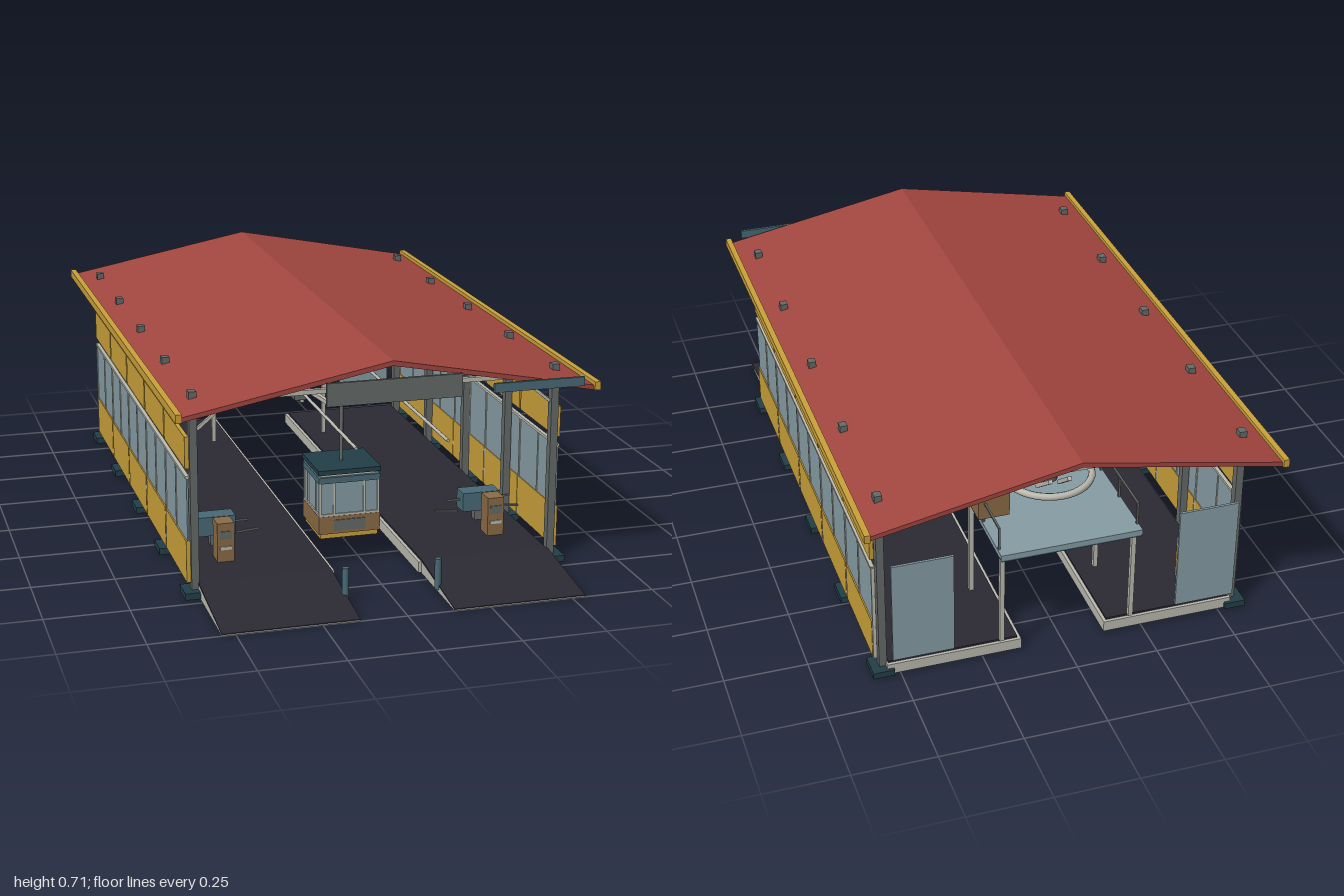
import * as THREE from 'three';

const mat = (name, color, double) => {
  const m = new THREE.MeshStandardMaterial({ color });
  m.name = name;
  if (double) m.side = THREE.DoubleSide;
  return m;
};

export function createModel() {
  const root = new THREE.Group();
  root.name = 'cableCarStation';
  const red = mat('roofRed', 0xa34640), yellow = mat('panelYellow', 0xcba23a);
  const dark = mat('deckDark', 0x2b2a33), pale = mat('paleMetal', 0xbcbbb0);
  const steel = mat('steelGrey', 0x656b69), glass = mat('glassBlue', 0x879da6);
  const teal = mat('teal', 0x486a76), deep = mat('deepTeal', 0x233f48);
  const brown = mat('brown', 0x8c6c47);

  const add = (name, geo, m, parent = root) => {
    const mesh = new THREE.Mesh(geo, m);
    mesh.name = name;
    parent.add(mesh);
    return mesh;
  };
  // Box given by its limits on each axis
  const box = (name, m, x0, x1, y0, y1, z0, z1, parent) => {
    const b = add(name, new THREE.BoxGeometry(Math.abs(x1 - x0), y1 - y0, z1 - z0), m, parent);
    b.position.set((x0 + x1) / 2, (y0 + y1) / 2, (z0 + z1) / 2);
    return b;
  };
  const cyl = (name, m, r, y0, y1, x, z, sides = 20, parent) => {
    const c = add(name, new THREE.CylinderGeometry(r, r, y1 - y0, sides), m, parent);
    c.position.set(x, (y0 + y1) / 2, z);
    return c;
  };
  // Square bar between two points
  const bar = (name, m, a, b, t, parent) => {
    const p = new THREE.Vector3(...a), q = new THREE.Vector3(...b);
    const s = add(name, new THREE.BoxGeometry(t, t, p.distanceTo(q)), m, parent);
    s.position.copy(p).add(q).multiplyScalar(0.5);
    s.lookAt(q);
    return s;
  };
  // Profile in (z, y), extruded from x0 to x1
  const sideProfile = (name, m, pts, x0, x1) => {
    const shape = new THREE.Shape(pts.map(p => new THREE.Vector2(...p)));
    const g = new THREE.ExtrudeGeometry(shape, { depth: x1 - x0, bevelEnabled: false });
    g.rotateY(-Math.PI / 2).translate(x1, 0, 0);
    return add(name, g, m);
  };

  // Gabled roof with edge gutters
  const gable = [[-0.615, 0.588], [-0.615, 0.574], [0, 0.692], [0.615, 0.574], [0.615, 0.588], [0, 0.707]];
  const roofGeo = new THREE.ExtrudeGeometry(new THREE.Shape(gable.map(p => new THREE.Vector2(...p))),
    { depth: 1.83, bevelEnabled: false });
  roofGeo.translate(0, 0, -0.99);
  add('roof', roofGeo, red);
  const roofUnder = x => 0.692 - Math.abs(x) * 0.192;

  const frames = [0.69, 0.31, -0.075, -0.46, -0.84];
  for (const s of [-1, 1]) {
    box('gutter', yellow, s * 0.61, s * 0.628, 0.576, 0.601, -1, 0.85);
    for (const x of [0.23, 0.46])
      box('purlin', steel, s * (x - 0.005), s * (x + 0.005), roofUnder(x) - 0.014, roofUnder(x), -0.95, 0.8);
    box('eaveBeam', pale, s * 0.542, s * 0.558, 0.549, 0.561, -0.84, 0.69);

    // Columns, footings and knee braces
    for (const z of frames) {
      box('column', steel, s * 0.537, s * 0.56, 0.02, 0.62, z - 0.013, z + 0.013);
      box('footing', deep, s * 0.52, s * 0.585, 0.004, 0.024, z - 0.04, z + 0.04);
      bar('kneeBrace', pale, [s * 0.535, 0.505, z], [s * 0.44, 0.585, z], 0.009);
      bar('rafter', steel, [0, 0.684, z], [s * 0.56, 0.577, z], 0.012);
    }

    // Side wall bays: low panel, glazing, upper panel
    for (let i = 0; i < 5; i++) {
      const z1 = 0.692 - i * 0.3055, z0 = z1 - 0.295, zm = (z0 + z1) / 2;
      box('lowerPanel', yellow, s * 0.56, s * 0.572, 0.043, 0.17, z0, z1);
      box('wallGlass', glass, s * 0.563, s * 0.568, 0.17, 0.36, z0, z1);
      box('upperPanel', yellow, s * 0.56, s * 0.572, 0.39, 0.485, z0, z1);
      box('mullion', pale, s * 0.561, s * 0.571, 0.17, 0.36, zm - 0.003, zm + 0.003);
      box('wallPost', pale, s * 0.561, s * 0.571, 0.043, 0.365, z0 - 0.009, z0 - 0.001);
    }
    box('glassRail', pale, s * 0.56, s * 0.572, 0.36, 0.368, -0.83, 0.692);

    // Platform, entrance ramp and dark walking surface
    const a = s > 0 ? 0.13 : -0.54, b = s > 0 ? 0.54 : -0.13;
    const c = s > 0 ? 0.14 : -0.54, d = s > 0 ? 0.54 : -0.14;
    box('platformSlab', pale, a, b, 0.004, 0.038, -0.87, 0.7);
    box('platformDeck', dark, s * 0.14, s * 0.535, 0.038, 0.044, -0.86, 0.7);
    sideProfile('ramp', pale, [[0.7, 0.002], [1, 0], [1, 0.003], [0.7, 0.037]], c, d);
    sideProfile('rampDeck', dark, [[0.7, 0.037], [1, 0.003], [1, 0.006], [0.7, 0.044]], c, d);
    cyl('bollard', teal, 0.01, 0.01, 0.105, s * 0.14, 0.85);

    // Rear wind screens
    box('rearScreen', glass, s * 0.345, s * 0.53, 0.075, 0.405, -0.899, -0.891);

    // Ticket gates
    const gate = new THREE.Group();
    gate.name = 'ticketGate';
    gate.position.x = s * 0.425;
    root.add(gate);
    box('gateBody', brown, -0.026, 0.026, 0.04, 0.165, 0.5, 0.56, gate);
    box('gateScreen', steel, -0.018, 0.018, 0.115, 0.14, 0.56, 0.563, gate);
    box('gateSlot', pale, -0.018, 0.018, 0.082, 0.092, 0.56, 0.563, gate);
    box('gateDrum', teal, -0.06, 0.06, 0.08, 0.14, 0.37, 0.43, gate);
    box('gateStand', steel, -0.015, 0.015, 0.04, 0.08, 0.385, 0.415, gate);
    bar('gateRail', steel, [-0.105, 0.112, 0.4], [0.105, 0.112, 0.4], 0.006, gate);
    for (const x of [-0.105, 0.105]) bar('gateRailPost', steel, [x, 0.04, 0.4], [x, 0.115, 0.4], 0.006, gate);

    // Machine platform supports and handrails
    for (const z of [-0.895, -0.6])
      box('machinePost', pale, s * 0.194, s * 0.208, z < -0.8 ? 0.07 : 0.04, 0.375, z - 0.007, z + 0.007);
    for (const z of [-0.895, -0.75, -0.6])
      bar('handrailPost', steel, [s * 0.21, 0.39, z], [s * 0.21, 0.47, z], 0.006);
    bar('handrail', steel, [s * 0.21, 0.468, -0.898], [s * 0.21, 0.468, -0.6], 0.006);

    // Haul cable strand
    const cable = cyl('haulCable', pale, 0.005, 0, 1.64, s * 0.135, 0, 8);
    cable.rotation.x = Math.PI / 2;
    cable.position.set(s * 0.135, 0.488, 0.11);
  }
  for (const z of frames) box('tieBeam', pale, -0.55, 0.55, 0.583, 0.597, z - 0.007, z + 0.007);

  // Blank boards on the front gable
  box('gableBoard', steel, -0.2, 0.2, 0.592, 0.66, 0.85, 0.86);
  box('sideBoard', teal, 0.297, 0.573, 0.595, 0.622, 0.85, 0.86);

  // Machine platform
  box('machineFloor', glass, -0.215, 0.215, 0.38, 0.397, -0.93, -0.57);
  box('machineFloorBase', teal, -0.213, 0.213, 0.374, 0.38, -0.928, -0.572);

  // Bull wheel with hub, spokes and drive shaft
  const wheel = new THREE.Group();
  wheel.name = 'bullWheel';
  wheel.position.set(0, 0.5, -0.71);
  root.add(wheel);
  add('wheelRim', new THREE.TorusGeometry(0.128, 0.011, 8, 40), pale, wheel).rotation.x = Math.PI / 2;
  cyl('wheelHub', steel, 0.028, -0.018, 0.022, 0, 0, 20, wheel);
  cyl('driveShaft', steel, 0.016, 0.02, 0.165, 0, 0, 16, wheel);
  cyl('shaftFlange', pale, 0.025, 0.022, 0.034, 0, 0, 20, wheel);
  for (let i = 0; i < 6; i++) {
    const t = i * Math.PI / 3;
    bar('wheelSpoke', pale, [0, 0, 0], [Math.cos(t) * 0.125, 0, Math.sin(t) * 0.125], 0.012, wheel);
  }

  // Hanging steel frame above the wheel
  const hang = [[-0.26, 0.582], [-0.21, 0.507], [0.21, 0.507], [0.26, 0.582]];
  for (let i = 0; i < 3; i++)
    bar('wheelFrame', steel, [...hang[i], -0.71], [...hang[i + 1], -0.71], 0.012);
  box('wheelFrameBeam', steel, -0.3, 0.3, 0.58, 0.592, -0.717, -0.703);

  // Drive motor
  box('motor', brown, 0.135, 0.23, 0.415, 0.51, -0.765, -0.655);
  cyl('motorShaft', steel, 0.025, 0.51, 0.54, 0.183, -0.71);
  cyl('motorCap', pale, 0.036, 0.538, 0.548, 0.183, -0.71);

  // Control cabinet
  box('controlCabinet', yellow, -0.515, -0.42, 0.04, 0.185, -0.8, -0.72);
  box('cabinetDoor', yellow, -0.5, -0.435, 0.05, 0.145, -0.72, -0.712);

  // Cabin and hanger
  const cabin = new THREE.Group();
  cabin.name = 'cabin';
  cabin.position.z = 0.32;
  root.add(cabin);
  box('cabinFloor', yellow, -0.092, 0.092, 0.027, 0.043, -0.088, 0.088, cabin);
  box('cabinBody', brown, -0.098, 0.098, 0.043, 0.1, -0.094, 0.094, cabin);
  box('cabinGlass', glass, -0.093, 0.093, 0.1, 0.21, -0.089, 0.089, cabin);
  box('cabinSill', pale, -0.097, 0.097, 0.1, 0.107, -0.093, 0.093, cabin);
  box('cabinHeader', teal, -0.098, 0.098, 0.207, 0.226, -0.094, 0.094, cabin);
  box('cabinVent', pale, -0.088, 0.088, 0.226, 0.235, -0.084, 0.084, cabin);
  box('cabinRoof', deep, -0.1, 0.1, 0.235, 0.25, -0.096, 0.096, cabin);
  for (const s of [-1, 1]) {
    box('frontGrille', steel, -0.05, 0.05, 0.052, 0.088, s * 0.0955 - 0.0015, s * 0.0955 + 0.0015, cabin);
    cyl('cabinFoot', steel, 0.007, 0.018, 0.027, s * 0.08, 0, 10, cabin);
    for (const u of [-0.093, -0.048, 0.048, 0.093]) {
      box('windowPillar', pale, u - 0.003, u + 0.003, 0.1, 0.21, s * 0.09 - 0.003, s * 0.09 + 0.003, cabin);
      box('windowPillar', pale, s * 0.094 - 0.003, s * 0.094 + 0.003, 0.1, 0.21, u * 0.95 - 0.003, u * 0.95 + 0.003, cabin);
    }
  }
  cyl('hangerRod', steel, 0.006, 0.25, 0.44, 0, 0, 10, cabin);
  cyl('hangerHead', pale, 0.024, 0.43, 0.448, 0, 0, 20, cabin);
  cyl('hangerCollar', pale, 0.014, 0.448, 0.465, 0, 0, 20, cabin);
  bar('hangerArm', pale, [0, 0.441, 0], [-0.135, 0.472, 0], 0.013, cabin);
  box('cableGrip', steel, -0.157, -0.118, 0.462, 0.484, -0.03, 0.03, cabin);
  return root;
}
